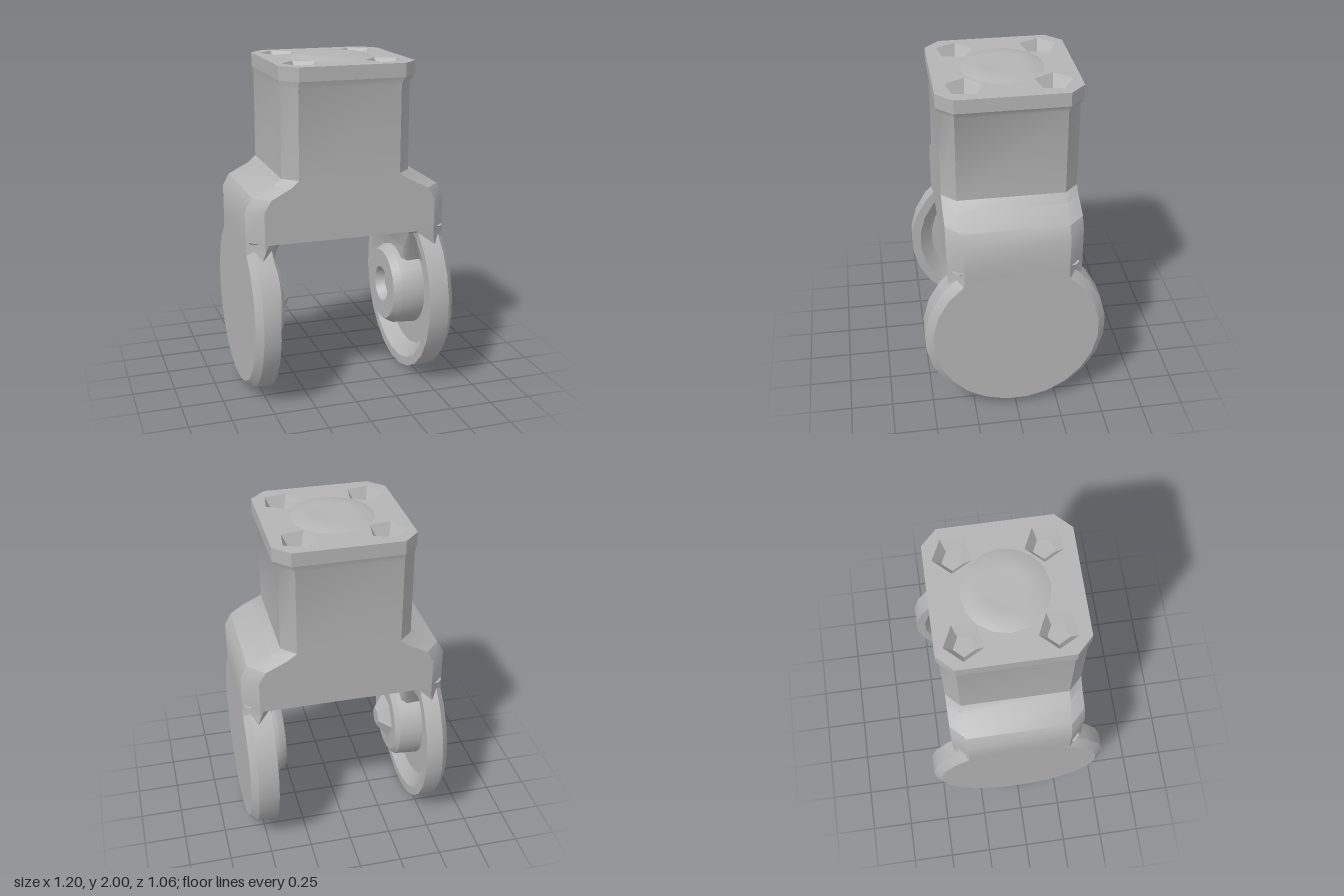
import * as THREE from 'three';
import { toCreasedNormals } from 'three/addons/utils/BufferGeometryUtils.js';

const grey = new THREE.MeshStandardMaterial({ color: 0xb4b4b4 });
grey.name = 'plain grey';

function part(name, geometry, parent, crease = 0.55) {
  const mesh = new THREE.Mesh(toCreasedNormals(geometry, crease), grey);
  mesh.name = name;
  parent.add(mesh);
  return mesh;
}

// Rectangle with cut corners as [x, z] pairs, running from +x towards +z
function outline(hx, hz, c) {
  return [
    [hx, hz - c], [hx - c, hz], [c - hx, hz], [-hx, hz - c],
    [-hx, c - hz], [c - hx, -hz], [hx - c, -hz], [hx, c - hz],
  ];
}

// Closed loft through cut-corner rectangles; each level is [y, hx, hz, corner, centre x]
function loft(levels) {
  const pos = [], idx = [];
  const n = 8;
  for (const [y, hx, hz, c, cx = 0] of levels)
    for (const [x, z] of outline(hx, hz, c)) pos.push(cx + x, y, z);
  const top = (levels.length - 1) * n;
  for (let k = 0; k < top; k += n)
    for (let j = 0; j < n; j++) {
      const a = k + j, b = k + (j + 1) % n;
      idx.push(a, a + n, b, b, a + n, b + n);
    }
  for (let j = 1; j < n - 1; j++) {
    idx.push(0, j, j + 1);
    idx.push(top, top + j + 1, top + j);
  }
  const g = new THREE.BufferGeometry();
  g.setAttribute('position', new THREE.Float32BufferAttribute(pos, 3));
  g.setIndex(idx);
  return g;
}

const lathe = (pts, segments) =>
  new THREE.LatheGeometry(pts.map(([x, y]) => new THREE.Vector2(x, y)), segments);

// Top plate with four pentagonal sockets narrowing towards their floors
function topPlateGeometry() {
  const sockets = [[0.24, 0.25], [-0.25, 0.25], [-0.25, -0.24], [0.24, -0.24]];
  const plate = new THREE.Shape(outline(0.4, 0.405, 0.09).map(([x, z]) => new THREE.Vector2(x, z)));
  for (const [x, y] of sockets) {
    const hole = [];
    for (let i = 0; i < 5; i++) {
      const a = -i * Math.PI * 0.4 + 0.5;
      hole.push(new THREE.Vector2(x + 0.11 * Math.cos(a), y + 0.11 * Math.sin(a)));
    }
    plate.holes.push(new THREE.Path(hole));
  }
  const g = new THREE.ExtrudeGeometry(plate, { depth: 0.08, bevelEnabled: false });
  const p = g.attributes.position;
  for (let i = 0; i < p.count; i++) {
    if (p.getZ(i) > 0.01) continue;
    for (const [x, y] of sockets) {
      const dx = p.getX(i) - x, dy = p.getY(i) - y;
      if (Math.hypot(dx, dy) < 0.115) p.setXY(i, x + dx * 0.5, y + dy * 0.5);
    }
  }
  return g.rotateX(-Math.PI / 2).translate(0, 1.9, 0);
}

export function createModel() {
  const model = new THREE.Group();
  model.name = 'forkBracket';

  // Square post widening into shoulders, flared at the top and slightly hollowed underneath
  part('body', loft([
    [1.03, 0.26, 0.22, 0.08], [0.99, 0.39, 0.37, 0.08],
    [0.99, 0.6, 0.39, 0.09], [1.18, 0.6, 0.39, 0.09], [1.25, 0.56, 0.39, 0.09],
    [1.31, 0.43, 0.39, 0.08, -0.005], [1.35, 0.38, 0.39, 0.08, -0.01],
    [1.86, 0.38, 0.39, 0.08, -0.01], [1.91, 0.4, 0.405, 0.09],
  ]), model);

  part('topPlate', topPlateGeometry(), model);

  // Low raised centre with a small dimple
  part('topBoss', lathe([[0.245, 1.978], [0.19, 1.997], [0.12, 2], [0, 1.985]], 16), model);

  // Two mirrored cheeks
  for (const side of [1, -1]) {
    const cheek = new THREE.Group();
    cheek.name = side > 0 ? 'leftCheek' : 'rightCheek';
    if (side < 0) cheek.rotation.y = Math.PI;
    model.add(cheek);

    // Dished disc with rim, central hub and screw recess
    const hubX = side > 0 ? 0.335 : 0.355;
    const rimX = side > 0 ? 0.44 : 0.46;
    const disc = lathe([
      [0, 0.39], [0.08, 0.39], [0.11, hubX], [0.22, hubX], [0.25, 0.38], [0.26, 0.52],
      [0.4, 0.52], [0.48, rimX], [0.535, rimX], [0.535, 0.56],
      [0.49, 0.6], [0, 0.6],
    ], 24);
    disc.rotateY(Math.PI / 24).rotateZ(-Math.PI / 2).translate(0, 0.535, 0);
    part('disc', disc, cheek);

    // Neck rising out of the disc into the shoulder
    part('neck', loft([
      [0.72, 0.035, 0.32, 0.03, 0.56], [0.85, 0.06, 0.38, 0.055, 0.536],
      [0.94, 0.09, 0.39, 0.09, 0.51], [0.99, 0.1, 0.39, 0.09, 0.5],
    ]), cheek);

    // Inner web flaring from the hub to the underside of the body
    part('web', loft([
      [0.7, 0.07, 0.15, 0.03, 0.48], [0.82, 0.07, 0.2, 0.03, 0.48],
      [0.94, 0.075, 0.3, 0.03, 0.48], [1.0, 0.11, 0.36, 0.03, 0.48],
    ]), cheek, 0.9);

    // Faceted screw head standing out on one side
    if (side < 0) {
      const screw = new THREE.CylinderGeometry(0.06, 0.15, 0.07, 6);
      screw.rotateZ(Math.PI / 2).translate(0.325, 0.54, 0);
      part('screwHead', screw, cheek, 0.2);
    }
  }
  return model;
}
